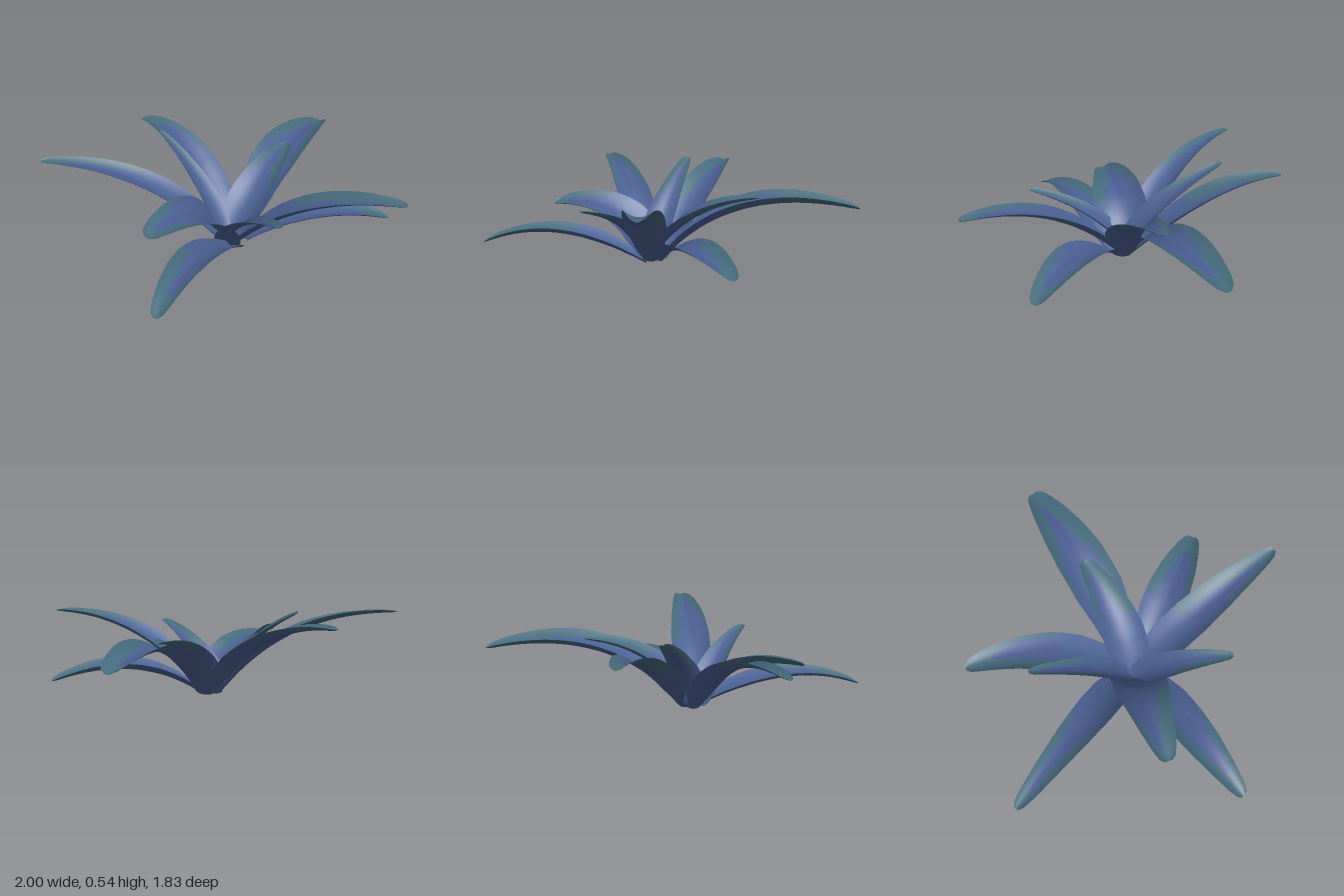
import * as THREE from 'three';

const mat = (name, color) => {
  const m = new THREE.MeshStandardMaterial({ color, side: THREE.DoubleSide });
  m.name = name;
  return m;
};

// half-width along a leaf, as [t, fraction of the widest part]
const PROFILE = [[0, 0.45], [0.1, 0.75], [0.28, 1], [0.45, 1], [0.62, 0.87], [0.8, 0.64], [0.92, 0.45], [0.98, 0.3], [1, 0.14]];
function widthAt(t) {
  const i = Math.max(1, PROFILE.findIndex((p) => p[0] >= t));
  const [a, b] = [PROFILE[i - 1], PROFILE[i]];
  return THREE.MathUtils.lerp(a[1], b[1], (t - a[0]) / (b[0] - a[0]));
}

// which material a patch of leaf takes: 0 blue, 1 indigo streak, 2 teal
function patch(t, u, seed) {
  const wave = 0.05 * Math.sin(t * 17 + seed * 2.1);
  const v = u - 0.25 * Math.sin(seed * 1.7);
  if (t > 0.87 + wave) return 2;
  if (t > 0.45 + wave && Math.abs(v) > 1.35 - 1.25 * t + wave) return 2;
  if (t > 0.45 && Math.abs(v) < 0.17) return 1;
  return 0;
}

// arched centre line that passes through the middle point halfway
function arch(base, middle, tip) {
  const [a, m, b] = [base, middle, tip].map((p) => new THREE.Vector3(...p));
  const control = m.multiplyScalar(2).addScaledVector(a, -0.5).addScaledVector(b, -0.5);
  return new THREE.QuadraticBezierCurve3(a, control, b);
}

// gutter-shaped leaf swept along its centre line; bulge above 1 moves the widest part outwards
function leafGeometry(curve, width, bulge, roll, seed) {
  const up = new THREE.Vector3(0, 1, 0);
  const rows = 40, cols = 12;
  const pos = [], lists = [[], [], []];
  for (let i = 0; i <= rows; i++) {
    const t = i / rows;
    const c = curve.getPointAt(t), dir = curve.getTangentAt(t);
    const side = dir.clone().cross(up).normalize().applyAxisAngle(dir, roll);
    const normal = side.clone().cross(dir);
    const w = (width / 2) * widthAt(Math.pow(t, bulge));
    for (let j = 0; j <= cols; j++) {
      const u = (j / cols) * 2 - 1;
      const lift = w * 0.4 * (u * u - 0.4);
      const p = c.clone().addScaledVector(side, u * w).addScaledVector(normal, lift);
      pos.push(p.x, Math.max(0, p.y), p.z);
    }
  }
  for (let i = 0; i < rows; i++) {
    for (let j = 0; j < cols; j++) {
      const a = i * (cols + 1) + j, b = a + 1, c = a + cols + 1, d = c + 1;
      const kind = patch((i + 0.5) / rows, ((j + 0.5) / cols) * 2 - 1, seed);
      // counter-clockwise seen from the upper side
      lists[kind].push(a, b, c, b, d, c);
    }
  }
  const g = new THREE.BufferGeometry();
  g.setAttribute('position', new THREE.Float32BufferAttribute(pos, 3));
  g.setIndex(lists.flat());
  let start = 0;
  lists.forEach((l, k) => {
    g.addGroup(start, l.length, k);
    start += l.length;
  });
  g.computeVertexNormals();
  return g;
}

// name, widest part, bulge, roll, then base, middle and tip of the centre line
const LEAVES = [
  ['backRightLeaf', 0.2, 0.9, -0.1, [-0.15, 0.03, -0.04], [-0.46, 0.39, -0.34], [-0.86, 0.5, -0.77]],
  ['backLeaf', 0.23, 1.2, 0, [-0.08, 0.03, -0.03], [-0.03, 0.4, -0.48], [-0.06, 0.5, -0.91]],
  ['longLeftLeaf', 0.29, 1.4, 0, [-0.06, 0.03, 0], [0.39, 0.37, -0.14], [0.99, 0.36, -0.37]],
  ['innerLeftLeaf', 0.25, 0.9, 0, [-0.14, 0.02, 0], [0.12, 0.3, -0.04], [0.47, 0.41, -0.16]],
  ['frontLeftLeaf', 0.25, 1.2, 0, [-0.06, 0.05, 0.06], [0.25, 0.2, 0.29], [0.62, 0.13, 0.54]],
  ['frontLeaf', 0.23, 1, 0, [-0.12, 0.02, 0.02], [0.05, 0.36, 0.43], [0.285, 0.465, 0.91]],
  ['innerFrontLeaf', 0.17, 0.7, 0, [-0.17, 0.04, -0.02], [-0.2, 0.26, 0.21], [-0.26, 0.39, 0.54]],
  ['frontRightLeaf', 0.22, 1.1, 0, [-0.13, 0.02, 0.05], [-0.58, 0.2, 0.24], [-0.99, 0.13, 0.44]],
  ['innerRightLeaf', 0.32, 0.8, -0.25, [-0.14, 0.03, -0.01], [-0.37, 0.29, 0.01], [-0.75, 0.32, 0.06]],
  ['innerBackLeaf', 0.17, 0.65, 0.3, [-0.15, 0.04, 0], [-0.15, 0.33, -0.25], [-0.17, 0.545, -0.58]],
];

export function createModel() {
  const materials = [mat('leafBlue', 0x4a6192), mat('leafIndigo', 0x4a5b90), mat('leafTeal', 0x456b7c)];
  const plant = new THREE.Group();
  plant.name = 'rosettePlant';
  LEAVES.forEach(([name, width, bulge, roll, base, middle, tip], i) => {
    const leaf = new THREE.Mesh(leafGeometry(arch(base, middle, tip), width, bulge, roll, i), materials);
    leaf.name = name;
    plant.add(leaf);
  });
  return plant;
}
